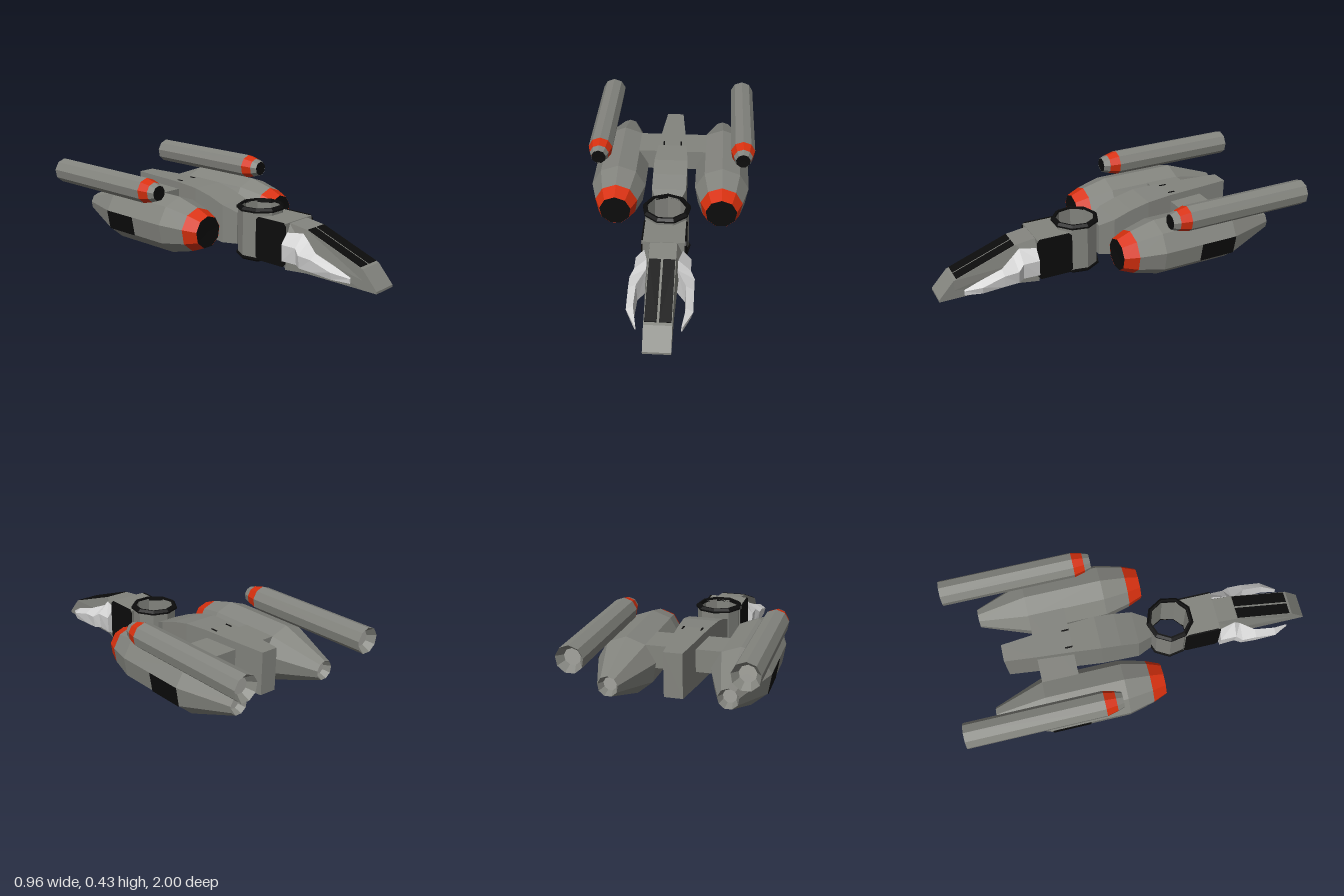
import * as THREE from 'three';

const flat = (name, color) => {
  const m = new THREE.MeshStandardMaterial({ color, flatShading: true, side: THREE.DoubleSide });
  m.name = name;
  return m;
};

export function createModel() {
  const hull = flat('hullGrey', 0x83847e);
  const pale = flat('paleGrey', 0xd2d2d2);
  const end = flat('exhaustGrey', 0xa4a49e);
  const red = flat('orangeRed', 0xd8300e);
  const black = flat('black', 0x0c0c0c);
  const root = new THREE.Group();
  root.name = 'spaceship';

  const add = (parent, name, geometry, material) => {
    const mesh = new THREE.Mesh(geometry, material);
    mesh.name = name;
    parent.add(mesh);
    return mesh;
  };
  const group = (parent, name) => {
    const g = new THREE.Group();
    g.name = name;
    parent.add(g);
    return g;
  };
  // Nine-sided turned shell around y, profile points are [radius, height]
  const lathe = (pts) =>
    new THREE.LatheGeometry(pts.map(([r, y]) => new THREE.Vector2(r, y)), 9, Math.PI);
  // The same along z, with a corner pointing up
  const latheZ = (pts) => lathe(pts).rotateX(Math.PI / 2);

  // Skin over convex cross-sections [z, [[x, y], ...]], back to front, counter-clockwise
  const loft = (sections) => {
    const n = sections[0][1].length, pos = [], idx = [];
    for (const [z, pts] of sections) for (const [x, y] of pts) pos.push(x, y, z);
    for (let s = 0; s < sections.length - 1; s++)
      for (let i = 0; i < n; i++) {
        const a = s * n + i, b = s * n + (i + 1) % n;
        idx.push(a, b, b + n, a, b + n, a + n);
      }
    const last = (sections.length - 1) * n;
    for (let i = 1; i < n - 1; i++) {
      idx.push(0, i + 1, i);
      idx.push(last, last + i, last + i + 1);
    }
    const g = new THREE.BufferGeometry();
    g.setAttribute('position', new THREE.Float32BufferAttribute(pos, 3));
    g.setIndex(idx);
    g.computeVertexNormals();
    return g;
  };
  const polygon = (pts) => new THREE.Shape(pts.map(([x, y]) => new THREE.Vector2(x, y)));

  // Central spine, falling towards the front
  const spine = [
    [-0.735, 0.048, 0.1, 0.333], [-0.56, 0.065, 0.09, 0.333], [-0.36, 0.082, 0.08, 0.333],
    [-0.21, 0.095, 0.07, 0.325], [-0.1, 0.095, 0.06, 0.3], [0, 0.095, 0.05, 0.265], [0.08, 0.06, 0.05, 0.23],
  ];
  add(root, 'spine', loft(spine.map(([z, w, y0, y1]) =>
    [z, [[-w, y0], [w, y0], [w, y1], [-w, y1]]])), hull);

  // Beam joining the engines
  add(root, 'crossBeam', new THREE.BoxGeometry(0.44, 0.12, 0.2), hull).position.set(0, 0.232, -0.46);

  // Hollow upright collar with black rims
  const collar = group(root, 'collar');
  collar.position.z = 0.197;
  add(collar, 'collarWall', lathe([[0.108, 0.01], [0.122, 0.01], [0.122, 0.28], [0.108, 0.28], [0.108, 0.01]]), hull);
  const rim = [[0.108, 0], [0.118, 0], [0.132, 0.012], [0.132, 0.022], [0.108, 0.022], [0.108, 0]];
  add(collar, 'lowerRim', lathe(rim), black);
  add(collar, 'upperRim', lathe(rim.map(([r, y]) => [r, 0.292 - y]).reverse()), black);

  // Neck block, fitted round the front of the collar
  const neck = polygon([[-0.11, -0.46], [0.11, -0.46], [0.11, -0.26], [0.045, -0.312], [-0.045, -0.312], [-0.11, -0.26]]);
  add(root, 'neck', new THREE.ExtrudeGeometry(neck, { depth: 0.23, bevelEnabled: false })
    .rotateX(-Math.PI / 2), hull).position.y = 0.022;

  // Wedge-shaped head
  const head = [
    [0.455, 0.1, 0.115, 0.14, 0.07, 0.25], [0.57, 0.07, 0.085, 0.13, 0.07, 0.235],
    [0.915, 0.07, 0.07, 0.05, 0.07, 0.107], [1, 0.07, 0.07, 0.006, 0.07, 0.012],
  ];
  add(root, 'head', loft(head.map(([z, wb, wm, ym, wt, yt]) =>
    [z, [[-wb, 0], [wb, 0], [wm, ym], [wt, yt], [-wt, yt], [-wm, ym]]])), hull);

  for (const side of [1, -1]) {
    const half = group(root, side > 0 ? 'leftSide' : 'rightSide');
    half.scale.x = side;

    // Engine pod
    const engine = group(half, 'engine');
    engine.position.set(0.295, 0.172, 0);
    add(engine, 'engineShell', latheZ([
      [0.035, -0.8], [0.053, -0.838], [0.1557, -0.56], [0.1557, -0.13], [0.12, 0.01]]), hull);
    add(engine, 'engineNozzle', latheZ([[0, -0.8], [0.035, -0.8]]), end);
    add(engine, 'intakeRing', latheZ([[0.12, 0.01], [0.088, 0.087]]), red);
    add(engine, 'intake', latheZ([[0.088, 0.086], [0, 0.084]]), black);
    // Black panel on the outermost facet
    const corner = (deg, r) => [r * Math.sin(deg * Math.PI / 180), r * Math.cos(deg * Math.PI / 180)];
    const panel = [corner(120, 0.1557), corner(120, 0.159), corner(80, 0.159), corner(80, 0.1557)];
    add(engine, 'sidePanel', loft([[-0.56, panel], [-0.351, panel]]), black);

    // Long upper cannon
    const cannon = group(half, 'cannon');
    cannon.position.set(0.41, 0.361, 0);
    add(cannon, 'barrel', latheZ([[0.042, -0.96], [0.07, -1], [0.07, -0.26]]), hull);
    add(cannon, 'barrelEnd', latheZ([[0, -0.96], [0.042, -0.96]]), end);
    add(cannon, 'cannonBand', latheZ([[0.07, -0.26], [0.055, -0.2]]), red);
    add(cannon, 'muzzleRing', latheZ([[0.055, -0.2], [0.042, -0.163]]), hull);
    add(cannon, 'muzzle', latheZ([[0.042, -0.164], [0, -0.166]]), black);

    // Black cheek plate with cut corners on the neck
    const cheek = polygon([
      [-0.45, 0.018], [-0.28, 0.018], [-0.265, 0.035], [-0.265, 0.24], [-0.28, 0.255],
      [-0.45, 0.255], [-0.464, 0.238], [-0.464, 0.035]]);
    add(half, 'cheekPlate', new THREE.ExtrudeGeometry(cheek, { depth: 0.008, bevelEnabled: false })
      .rotateY(Math.PI / 2), black).position.x = 0.108;

    // Pale pincer beside the head
    add(half, 'pincer', loft([
      [0.465, [[0.09, 0.04], [0.14, 0.06], [0.145, 0.15], [0.1, 0.205]]],
      [0.555, [[0.07, 0.04], [0.135, 0.06], [0.145, 0.15], [0.08, 0.215]]],
      [0.59, [[0.07, 0.04], [0.155, 0.055], [0.166, 0.125], [0.08, 0.18]]],
      [0.67, [[0.12, 0.04], [0.16, 0.055], [0.166, 0.12], [0.125, 0.145]]],
      [0.79, [[0.125, 0.035], [0.155, 0.045], [0.166, 0.085], [0.13, 0.11]]],
      [0.875, [[0.11, 0.035], [0.116, 0.035], [0.118, 0.06], [0.112, 0.065]]],
    ]), pale);

    // Black strip along the sloping top of the head
    const strip = (y) => [[0.006, y - 0.004], [0.066, y - 0.004], [0.066, y + 0.004], [0.006, y + 0.004]];
    add(half, 'headStrip', loft([[0.575, strip(0.233)], [0.9, strip(0.1126)]]), black);

    // Small slot on the spine
    add(half, 'spineSlot', new THREE.BoxGeometry(0.008, 0.004, 0.04), black).position.set(0.05, 0.334, -0.38);
  }
  return root;
}
